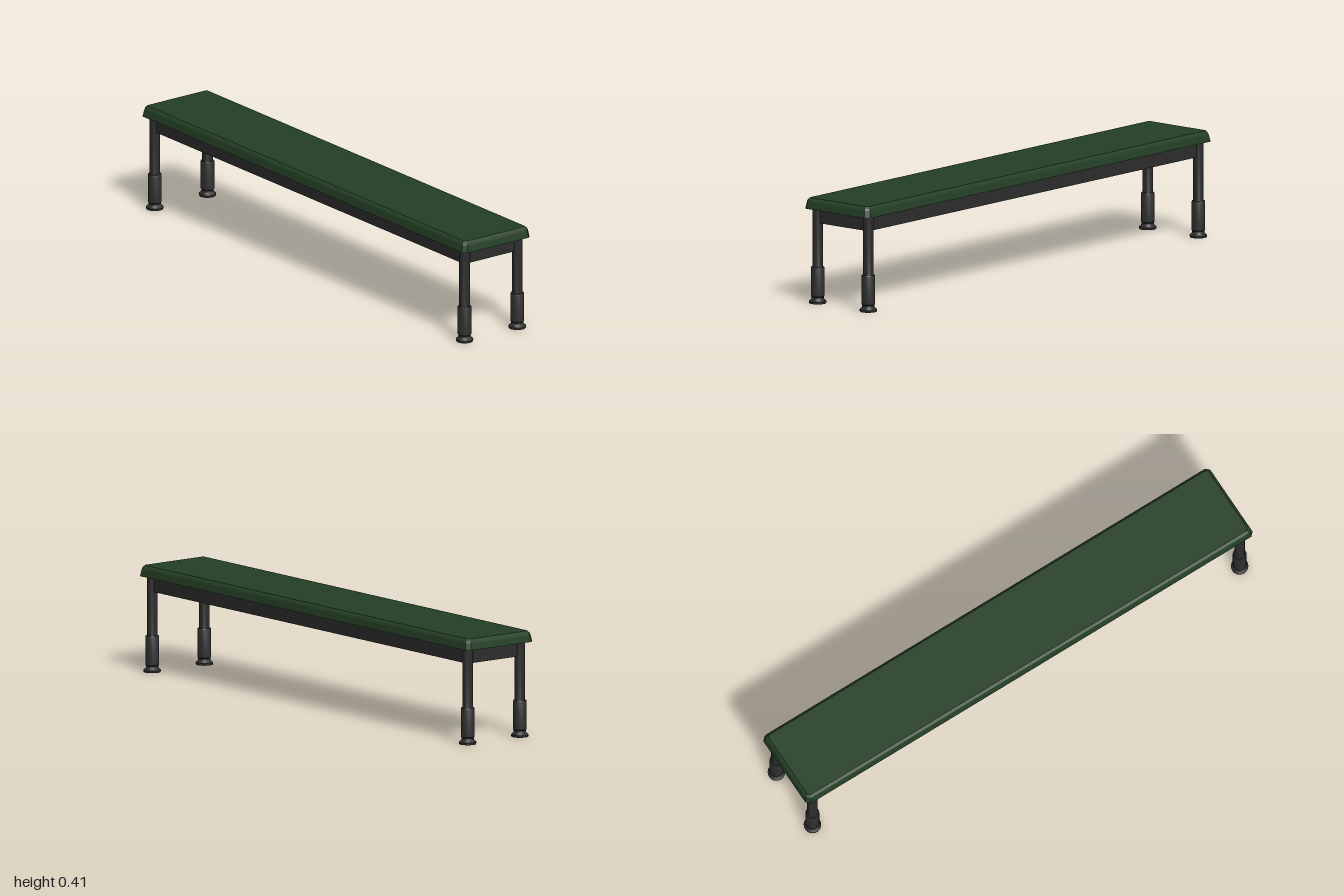
import * as THREE from 'three';
import { toCreasedNormals } from 'three/addons/utils/BufferGeometryUtils.js';

const green = new THREE.MeshStandardMaterial({ color: 0x243f25 });
green.name = 'dark green';
const black = new THREE.MeshStandardMaterial({ color: 0x2d2d2d });
black.name = 'charcoal metal';

const LEG_X = 0.125, LEG_Z = 0.955, SEAT_Y = 0.365;

// Rectangle with cut corners, counter-clockwise from above
function ring(hx, hz, cut, y) {
  return [
    [hx, hz - cut], [hx, -hz + cut], [hx - cut, -hz], [-hx + cut, -hz],
    [-hx, -hz + cut], [-hx, hz - cut], [-hx + cut, hz], [hx - cut, hz],
  ].map(([x, z]) => [x, y, z]);
}

// Skins stacked rings and closes both ends
function loft(rings) {
  const pos = [];
  const tri = (a, b, c) => pos.push(...a, ...b, ...c);
  const n = rings[0].length;
  for (let r = 0; r + 1 < rings.length; r++) {
    for (let i = 0; i < n; i++) {
      const j = (i + 1) % n;
      tri(rings[r][i], rings[r][j], rings[r + 1][j]);
      tri(rings[r][i], rings[r + 1][j], rings[r + 1][i]);
    }
  }
  const low = rings[0], top = rings[rings.length - 1];
  for (let i = 1; i + 1 < n; i++) {
    tri(low[0], low[i + 1], low[i]);
    tri(top[0], top[i], top[i + 1]);
  }
  const g = new THREE.BufferGeometry();
  g.setAttribute('position', new THREE.Float32BufferAttribute(pos, 3));
  g.computeVertexNormals();
  return g;
}

function add(parent, name, geometry, material, x = 0, y = 0, z = 0) {
  const mesh = new THREE.Mesh(geometry, material);
  mesh.name = name;
  mesh.position.set(x, y, z);
  parent.add(mesh);
}

export function createModel() {
  const bench = new THREE.Group();
  bench.name = 'bench';

  // Seat slab with flared sides and bevelled top edge
  add(bench, 'seat', loft([
    ring(0.16, 1.0, 0.015, SEAT_Y),
    ring(0.155, 0.995, 0.014, 0.391),
    ring(0.152, 0.992, 0.013, 0.398),
    ring(0.143, 0.983, 0.008, 0.406),
  ]), green);

  // Apron rails between the legs
  const railH = 0.057, railT = 0.014, railY = SEAT_Y - railH / 2;
  const sideRail = new THREE.BoxGeometry(railT, railH, LEG_Z * 2);
  const endRail = new THREE.BoxGeometry(LEG_X * 2, railH, railT);
  for (const s of [-1, 1]) {
    add(bench, 'sideRail', sideRail, black, s * LEG_X, railY, 0);
    add(bench, 'endRail', endRail, black, 0, railY, s * LEG_Z);
  }

  // Turned leg: flared foot, waist, thick sleeve and slim post
  const profile = [
    [0, 0], [0.032, 0], [0.033, 0.008], [0.029, 0.011], [0.024, 0.017],
    [0.023, 0.024], [0.026, 0.028], [0.026, 0.136], [0.024, 0.139],
    [0.02, 0.139], [0.02, SEAT_Y],
  ].map(([r, y]) => new THREE.Vector2(r, y));
  const leg = toCreasedNormals(new THREE.LatheGeometry(profile, 20), 0.6);
  for (const x of [-LEG_X, LEG_X])
    for (const z of [-LEG_Z, LEG_Z]) add(bench, 'leg', leg, black, x, 0, z);

  return bench;
}
